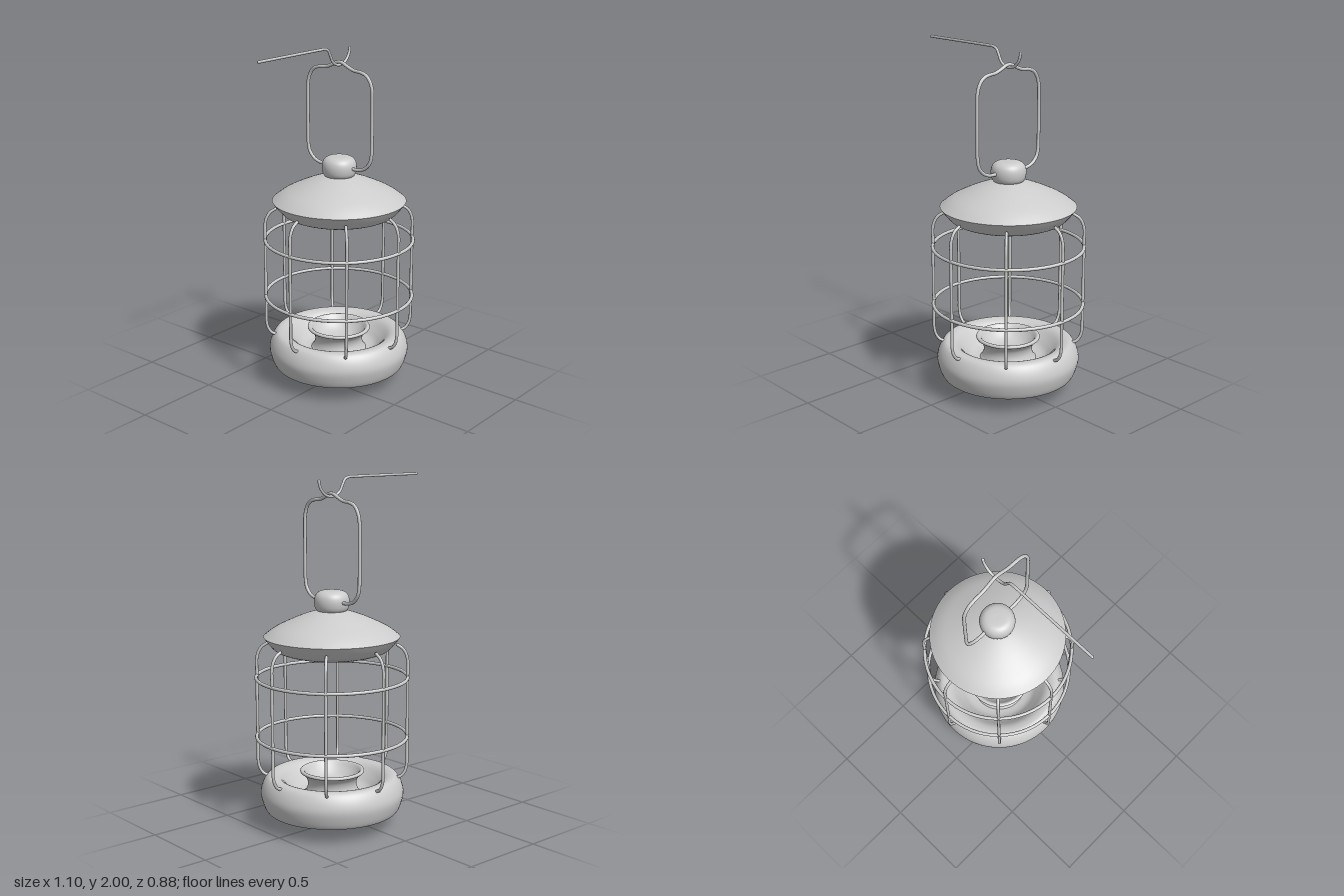
import * as THREE from 'three';

const AXIS = 0.107; // x of the lantern's vertical axis
const material = new THREE.MeshStandardMaterial({ color: 0xcccccc, side: THREE.DoubleSide });

function add(parent, geometry, name) {
  const mesh = new THREE.Mesh(geometry, material);
  mesh.name = name;
  parent.add(mesh);
  return mesh;
}

// Smooth turned surface through [radius, height] points, listed bottom to top on the outside
function turned(parent, points, name, steps = 28) {
  const curve = new THREE.SplineCurve(points.map(([r, y]) => new THREE.Vector2(r, y)));
  const profile = curve.getPoints(steps).map((p) => p.setX(Math.max(p.x, 0)));
  return add(parent, new THREE.LatheGeometry(profile, 64), name);
}

// Bent wire with rounded ends
function wire(parent, points, radius, name, closed = false) {
  const group = new THREE.Group();
  group.name = name;
  const path = points.map((p) => new THREE.Vector3(...p));
  const curve = new THREE.CatmullRomCurve3(path, closed, 'centripetal');
  add(group, new THREE.TubeGeometry(curve, 96, radius, 10, closed), name + 'Rod');
  if (!closed) {
    for (const end of [path[0], path[path.length - 1]]) {
      add(group, new THREE.SphereGeometry(radius, 10, 8), name + 'End').position.copy(end);
    }
  }
  parent.add(group);
  return group;
}

export function createModel() {
  const model = new THREE.Group();
  model.name = 'hangingLantern';
  const lantern = new THREE.Group();
  lantern.name = 'lantern';
  lantern.position.x = AXIS;
  model.add(lantern);

  // Base: foot, bulging side and hollow tray
  turned(lantern, [[0, 0], [0.06, 0.002], [0.105, 0.012], [0.135, 0.035], [0.15, 0.055],
    [0.2, 0.072], [0.28, 0.08], [0.36, 0.088], [0.385, 0.1], [0.405, 0.15], [0.413, 0.2],
    [0.4, 0.25], [0.375, 0.288], [0.345, 0.298], [0.3, 0.285], [0.25, 0.235], [0.2, 0.195],
    [0.1, 0.185], [0, 0.185]], 'base', 72);

  // Candle cup: waisted wall, rolled lip and bowl
  turned(lantern, [[0.17, 0.18], [0.15, 0.205], [0.14, 0.24], [0.148, 0.275], [0.172, 0.305]], 'cupWall');
  turned(lantern, [[0.172, 0.305], [0.183, 0.31], [0.185, 0.318], [0.18, 0.325], [0.165, 0.323],
    [0.14, 0.29], [0.1, 0.255], [0.05, 0.24], [0, 0.237]], 'cupBowl', 36);

  // Lid: underside and domed top meet at a sharp rim
  turned(lantern, [[0, 0.988], [0.1, 0.99], [0.22, 1.0], [0.31, 1.026], [0.35, 1.06], [0.387, 1.107]], 'lidUnderside');
  turned(lantern, [[0.387, 1.107], [0.34, 1.143], [0.283, 1.175], [0.177, 1.222], [0.077, 1.254], [0, 1.262]], 'lidTop');

  // Knob
  turned(lantern, [[0.072, 1.24], [0.093, 1.265], [0.1, 1.305], [0.092, 1.34], [0.068, 1.361],
    [0.03, 1.366], [0, 1.366]], 'knob');

  // Cage: eight bent bars and two hoops
  for (let i = 0; i < 8; i++) {
    const bar = wire(lantern, [[0.377, 0.282, 0], [0.4, 0.293, 0], [0.421, 0.325, 0], [0.43, 0.37, 0], [0.43, 0.41, 0],
      [0.43, 0.92, 0], [0.43, 0.965, 0], [0.42, 1.008, 0], [0.4, 1.04, 0], [0.37, 1.06, 0]], 0.009, 'cageBar');
    bar.rotation.y = (i * Math.PI) / 4;
  }
  for (const y of [0.528, 0.872]) {
    const hoop = add(lantern, new THREE.TorusGeometry(0.431, 0.01, 10, 64), 'cageHoop');
    hoop.rotation.x = Math.PI / 2;
    hoop.position.y = y;
  }

  // Handle: mirrored loop through the knob with a peak at the top
  const side = [[0.09, 1.305], [0.14, 1.306], [0.185, 1.322], [0.22, 1.36], [0.232, 1.41], [0.233, 1.45],
    [0.233, 1.73], [0.231, 1.77], [0.217, 1.815], [0.19, 1.848], [0.15, 1.863], [0.1, 1.868], [0.055, 1.885], [0.025, 1.9]];
  const left = side.map(([z, y]) => [0, y, z]);
  const right = side.map(([z, y]) => [0, y, -z]).reverse();
  wire(lantern, [...left, [0, 1.906, 0], ...right], 0.01, 'handle', true);

  // Hook: straight arm ending in an open crook
  wire(model, [[-0.547, 1.992, 0], [-0.06, 1.992, 0], [-0.02, 1.991, 0], [0.008, 1.98, 0], [0.026, 1.95, 0],
    [0.045, 1.915, 0], [0.073, 1.895, 0], [0.107, 1.888, 0], [0.145, 1.896, 0], [0.175, 1.92, 0],
    [0.192, 1.95, 0], [0.197, 1.975, 0]], 0.008, 'hook');

  return model;
}
